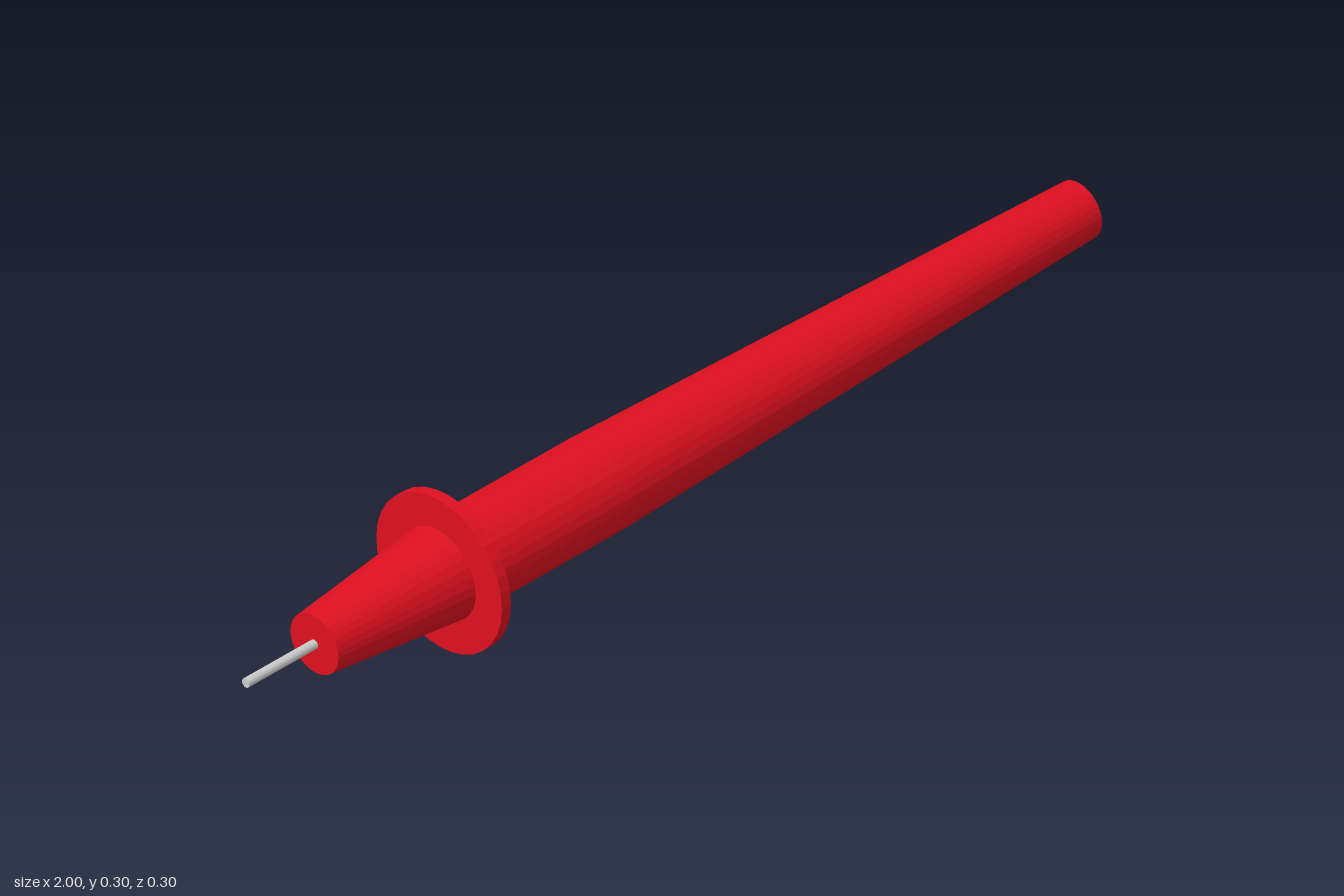
import * as THREE from 'three';

const AXIS_Y = 0.152;
const SIDES = 32;

export function createModel() {
  const model = new THREE.Group();
  model.name = 'testProbe';

  const red = new THREE.MeshStandardMaterial({ color: 0xe01020, flatShading: true });
  const grey = new THREE.MeshStandardMaterial({ color: 0xcccccc, flatShading: true });

  // Round section lying along x, from x0 (radius r0) to x1 (radius r1)
  function section(name, x0, x1, r0, r1, material, sides = SIDES, open = false) {
    const geometry = new THREE.CylinderGeometry(r1, r0, x1 - x0, sides, 1, open);
    geometry.rotateZ(-Math.PI / 2);
    const mesh = new THREE.Mesh(geometry, material);
    mesh.name = name;
    mesh.position.set((x0 + x1) / 2, AXIS_Y, 0);
    model.add(mesh);
  }

  // Metal tip, sunk a little into the nose
  section('metalTip', -1, -0.8, 0.009, 0.009, grey, 16);

  // Tapered nose in front of the guard
  section('nose', -0.835, -0.525, 0.058, 0.09, red);

  // Finger guard disc
  section('fingerGuard', -0.536, -0.514, 0.152, 0.152, red);

  // Straight grip and the long tapering handle behind it
  section('grip', -0.525, -0.16, 0.09, 0.09, red, SIDES, true);
  section('handle', -0.16, 1, 0.09, 0.055, red);

  return model;
}
